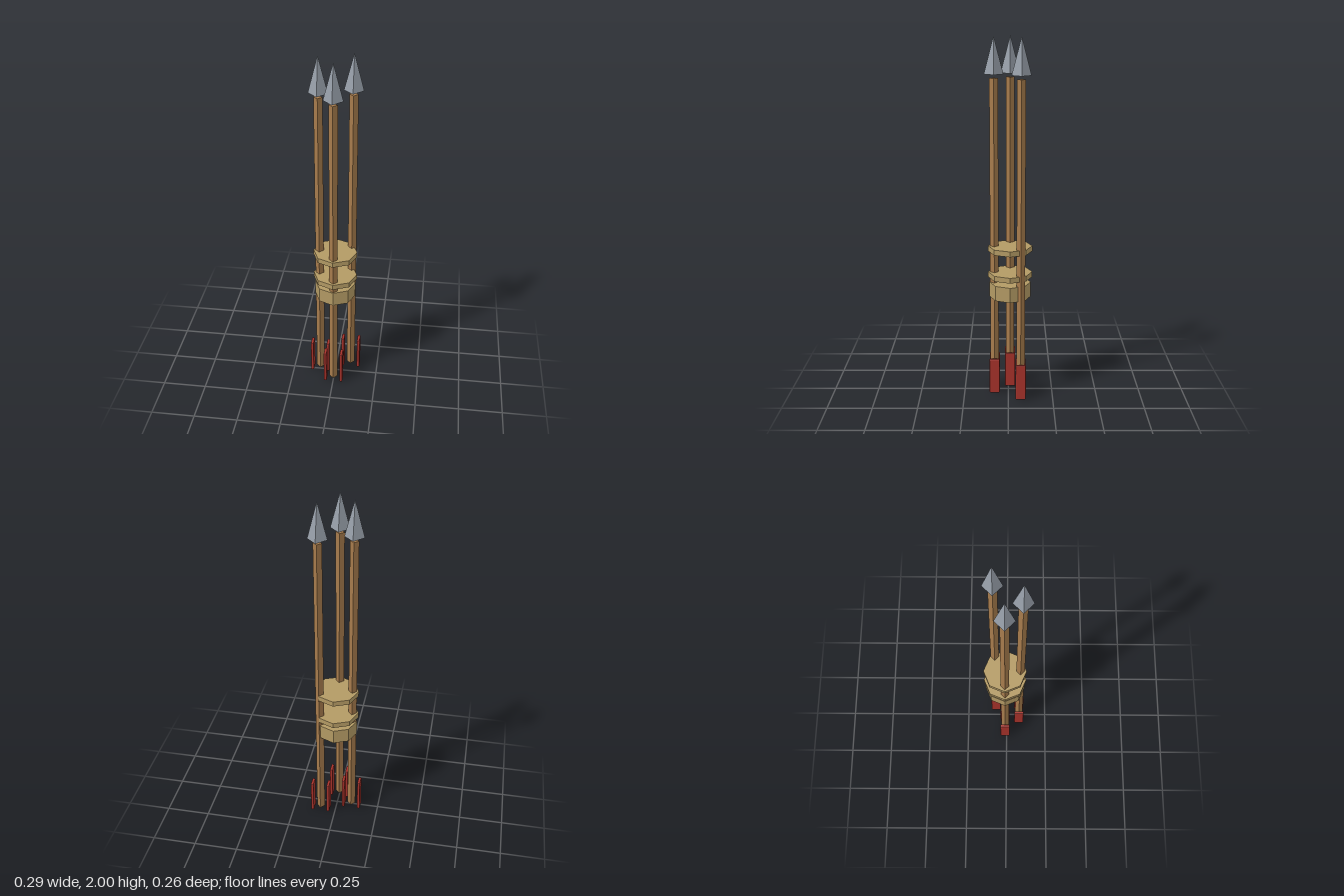
import * as THREE from 'three';
import { RoundedBoxGeometry } from 'three/addons/geometries/RoundedBoxGeometry.js';

function makeMaterial(name, color) {
  const m = new THREE.MeshStandardMaterial({ color, flatShading: true });
  m.name = name;
  return m;
}

export function createModel() {
  const wood = makeMaterial('wood', 0xa67b4c);
  const steel = makeMaterial('steel', 0x969ea8);
  const red = makeMaterial('red feather', 0xa8322b);
  const rope = makeMaterial('rope', 0xb39a64);

  const model = new THREE.Group();
  model.name = 'arrowBundle';

  function add(parent, name, geometry, material, x, y, z) {
    const mesh = new THREE.Mesh(geometry, material);
    mesh.name = name;
    mesh.position.set(x, y, z);
    parent.add(mesh);
  }

  // Shared arrow parts
  const shaft = new THREE.CylinderGeometry(0.0235, 0.0235, 1.76, 4);
  const head = new THREE.ConeGeometry(0.052, 0.2, 4);
  const fin = new RoundedBoxGeometry(0.017, 0.205, 0.058, 1, 0.005);

  // Three arrows, points up, each with a feather on either side
  for (const [x, z] of [[-0.089, -0.01], [0, 0.078], [0.088, -0.069]]) {
    const arrow = new THREE.Group();
    arrow.name = 'arrow';
    arrow.position.set(x, 0, z);
    add(arrow, 'shaft', shaft, wood, 0, 0.9, 0);
    add(arrow, 'arrowhead', head, steel, 0, 1.9, 0);
    for (const side of [-1, 1]) add(arrow, 'feather', fin, red, side * 0.047, 0.1025, 0);
    model.add(arrow);
  }

  // Octagonal bindings: name, radius, bottom, top
  for (const [name, r, y0, y1] of [
    ['wideBinding', 0.115, 0.565, 0.65],
    ['lowerBinding', 0.123, 0.68, 0.71],
    ['upperBinding', 0.123, 0.83, 0.86],
  ]) {
    add(model, name, new THREE.CylinderGeometry(r, r, y1 - y0, 8), rope, 0, (y0 + y1) / 2, -0.01);
  }

  return model;
}
